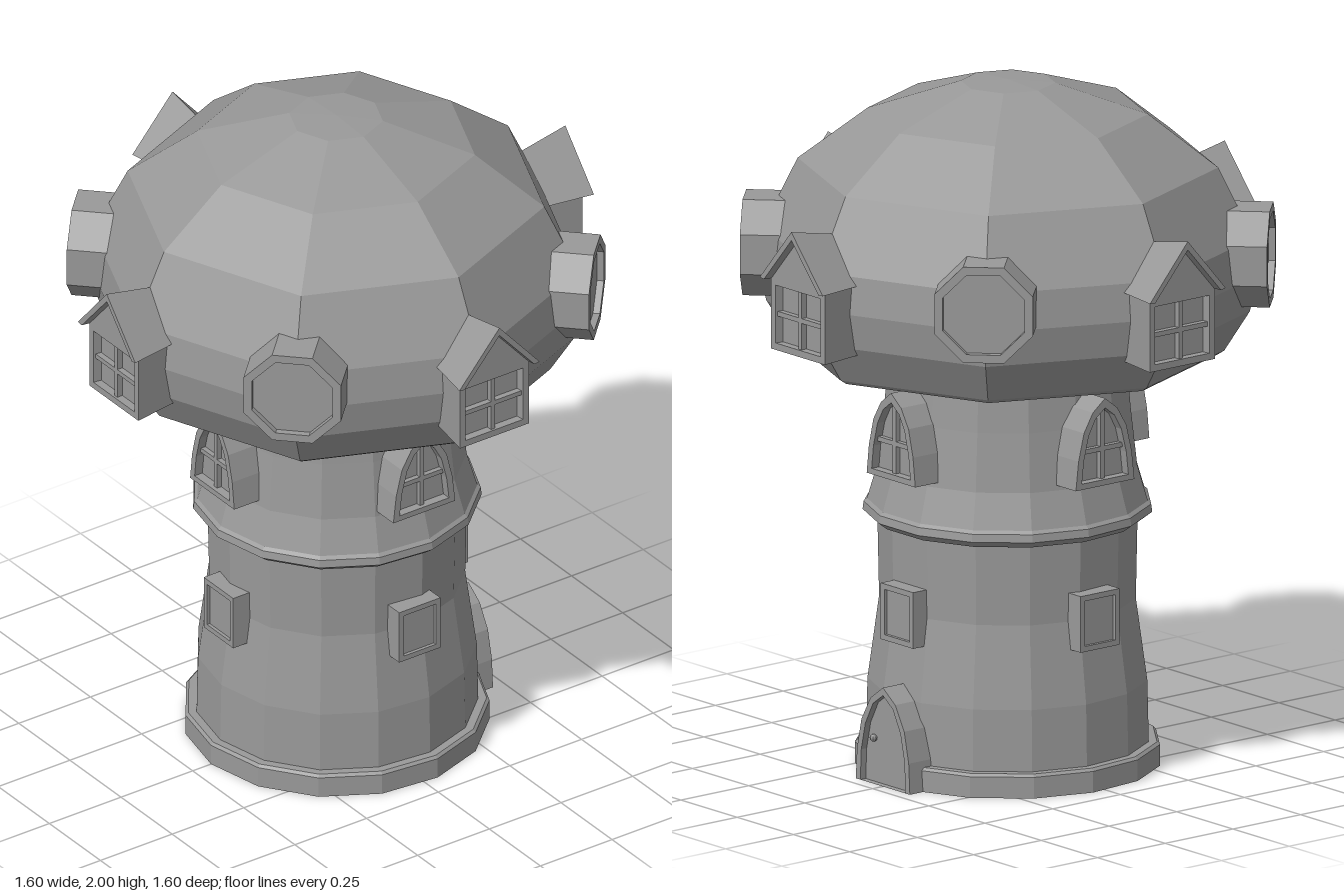
import * as THREE from 'three';

const mat = new THREE.MeshStandardMaterial({ color: 0x999999, flatShading: true, side: THREE.DoubleSide });

const v2 = (pts) => pts.map(([x, y]) => new THREE.Vector2(x, y));
// Right half of an outline, bottom to top, mirrored into a closed loop
const mirrored = (half) => v2([...half, ...half.filter(([x]) => x > 0).reverse().map(([x, y]) => [-x, y])]);

function add(group, name, geometry) {
  const mesh = new THREE.Mesh(geometry, mat);
  mesh.name = name;
  group.add(mesh);
}

// Outline (with optional hole) extruded between two distances from the axis
function slab(outline, z0, z1, hole) {
  const shape = new THREE.Shape(outline);
  if (hole) shape.holes.push(new THREE.Path(hole));
  return new THREE.ExtrudeGeometry(shape, { depth: z1 - z0, bevelEnabled: false }).translate(0, 0, z0);
}

function lathe(points, sides, start) {
  return new THREE.LatheGeometry(v2(points), sides, start);
}

// Cross-shaped glazing bars
function bars(group, w, h, barY, crossY, z) {
  add(group, 'verticalBar', new THREE.BoxGeometry(0.014, h, 0.03).translate(0, barY, z));
  add(group, 'crossBar', new THREE.BoxGeometry(w, 0.014, 0.03).translate(0, crossY, z));
}

function squareWindow() {
  const g = new THREE.Group();
  const outer = mirrored([[0.072, 0.41], [0.072, 0.575]]);
  const inner = mirrored([[0.056, 0.426], [0.056, 0.559]]);
  add(g, 'frame', slab(outer, 0.3, 0.41, inner));
  add(g, 'pane', slab(inner, 0.3, 0.4));
  return g;
}

function archedWindow() {
  const g = new THREE.Group();
  const outer = mirrored([[0.108, 0.895], [0.098, 0.98], [0.078, 1.06], [0.045, 1.115], [0, 1.15]]);
  const inner = mirrored([[0.086, 0.912], [0.078, 0.98], [0.06, 1.05], [0.035, 1.095], [0, 1.122]]);
  add(g, 'frame', slab(outer, 0.28, 0.432, inner));
  add(g, 'pane', slab(inner, 0.28, 0.405));
  bars(g, 0.15, 0.205, 1.015, 1.0, 0.405);
  return g;
}

function door() {
  const g = new THREE.Group();
  const outer = mirrored([[0.12, 0], [0.115, 0.09], [0.095, 0.18], [0.055, 0.25], [0, 0.29]]);
  const inner = mirrored([[0.1, 0], [0.096, 0.09], [0.078, 0.17], [0.044, 0.235], [0, 0.267]]);
  add(g, 'frame', slab(outer, 0.37, 0.462, inner));
  add(g, 'panel', slab(inner, 0.37, 0.442));
  add(g, 'knob', new THREE.SphereGeometry(0.011, 8, 6).translate(-0.055, 0.13, 0.451));
  return g;
}

// Dormers shrink towards the cap, about the eave line
function taper(geometry) {
  const p = geometry.attributes.position;
  for (let i = 0; i < p.count; i++) {
    const s = 1 + 1.35 * Math.min(0, p.getZ(i) - 0.775);
    p.setX(i, p.getX(i) * s);
    if (p.getY(i) > 1.52) p.setY(i, 1.52 + (p.getY(i) - 1.52) * s);
  }
  geometry.computeVertexNormals();
  return geometry;
}

function dormer() {
  const g = new THREE.Group();
  const wall = mirrored([[0.12, 1.315], [0.12, 1.53], [0, 1.665]]);
  const opening = mirrored([[0.1, 1.335], [0.1, 1.505]]);
  const roof = mirrored([[0.14, 1.525], [0, 1.685]]).concat(v2([[-0.122, 1.522], [0, 1.66], [0.122, 1.522]]));
  add(g, 'walls', taper(slab(wall, 0.56, 0.775, opening)));
  add(g, 'pane', slab(opening, 0.65, 0.75));
  bars(g, 0.2, 0.17, 1.42, 1.42, 0.753);
  add(g, 'roof', taper(slab(roof, 0.56, 0.8)));
  return g;
}

function roundWindow() {
  const g = new THREE.Group();
  const octagon = (r) => Array.from({ length: 8 }, (_, i) => {
    const a = (i + 0.5) * Math.PI / 4;
    return new THREE.Vector2(r * Math.cos(a), 1.503 + r * Math.sin(a));
  });
  add(g, 'frame', slab(octagon(0.152), 0.54, 0.752, octagon(0.126)));
  add(g, 'pane', slab(octagon(0.126), 0.54, 0.732));
  return g;
}

export function createModel() {
  const model = new THREE.Group();
  model.name = 'mushroomTower';

  // Hollow tower: fifteen sides, open at the bottom
  add(model, 'tower', lathe([
    [0.405, 0], [0.404, 0.07], [0.4, 0.25], [0.367, 0.49], [0.372, 0.74],
    [0.402, 0.775], [0.371, 0.88], [0.352, 1.05], [0.34, 1.2], [0.34, 1.36],
  ], 15, -Math.PI / 2));
  add(model, 'baseRing', lathe([
    [0.4, 0], [0.436, 0], [0.436, 0.062], [0.428, 0.07], [0.4, 0.07],
  ], 15, -Math.PI / 2));
  add(model, 'middleRing', lathe([
    [0.365, 0.725], [0.388, 0.725], [0.414, 0.745], [0.411, 0.768], [0.393, 0.785],
  ], 15, -Math.PI / 2));

  // Eight-sided cap with a recessed underside
  add(model, 'cap', lathe([
    [0.3, 1.35], [0.575, 1.215], [0.597, 1.205], [0.617, 1.218], [0.69, 1.335],
    [0.712, 1.44], [0.7, 1.55], [0.6, 1.755], [0.4, 1.907], [0.135, 1.993], [0, 2],
  ], 8, 0));

  // Windows and dormers around the tower and cap
  const place = (part, name, angle) => {
    part.name = name;
    part.rotation.y = angle;
    model.add(part);
  };
  for (let i = 0; i < 4; i++) {
    const a = i * Math.PI / 2;
    place(squareWindow(), 'squareWindow', a);
    place(archedWindow(), 'archedWindow', a);
    place(dormer(), 'dormer', a);
    place(roundWindow(), 'roundWindow', a + Math.PI / 4);
  }
  place(door(), 'door', Math.PI / 2);

  return model;
}
